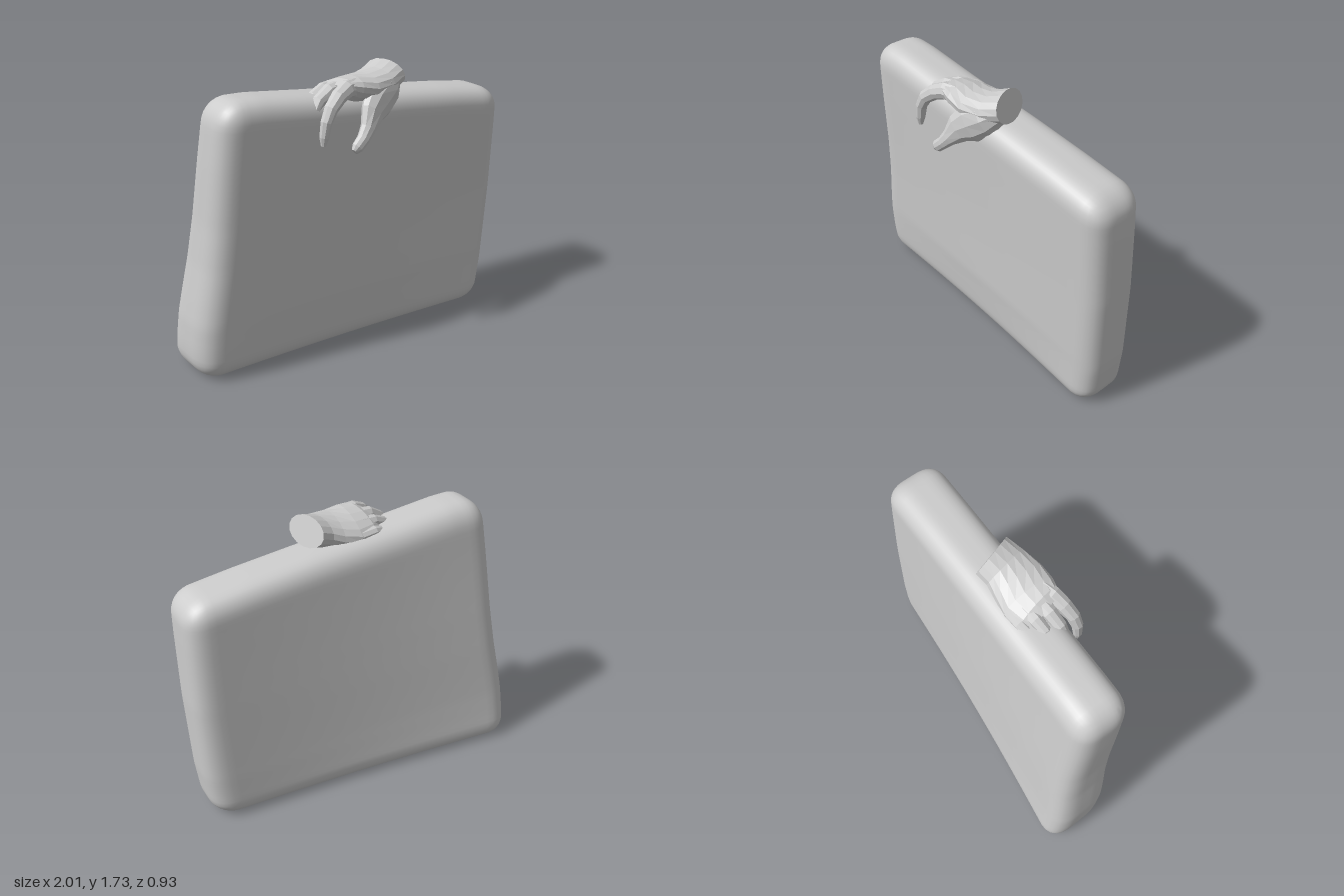
import * as THREE from 'three';
import { mergeVertices, toCreasedNormals } from 'three/addons/utils/BufferGeometryUtils.js';

const { lerp, clamp } = THREE.MathUtils;

// Linear lookup in a short list of [input, output] pairs
function sample(pairs, v) {
  for (let i = 1; i < pairs.length; i++) {
    const [a, fa] = pairs[i - 1], [b, fb] = pairs[i];
    if (v <= b || i === pairs.length - 1) return lerp(fa, fb, clamp((v - a) / (b - a), 0, 1));
  }
}

// Padded case: a rounded box, warped to a leaning, slightly uneven outline
function caseGeometry() {
  const half = new THREE.Vector3(0.98, 0.8, 0.175), r = 0.135;
  const inner = half.clone().subScalar(r);
  const box = new THREE.BoxGeometry(2 * half.x, 2 * half.y, 2 * half.z, 48, 44, 12);
  box.deleteAttribute('uv');
  box.deleteAttribute('normal');
  const geo = mergeVertices(box), pos = geo.attributes.position;
  const p = new THREE.Vector3(), q = new THREE.Vector3();
  const leftEdge = [[0, -0.99], [0.2, -0.995], [0.35, -0.99], [0.5, -0.97], [0.7, -0.94], [0.95, -0.915], [1.3, -0.895], [1.65, -0.87]];
  const rightEdge = [[0, 0.94], [0.1, 0.96], [0.3, 0.98], [0.8, 0.992], [1.2, 0.985], [1.5, 0.975]];
  const topEdge = [[-1, 1.655], [-0.75, 1.645], [-0.35, 1.6], [0.2, 1.55], [0.6, 1.505], [1, 1.45]];
  for (let i = 0; i < pos.count; i++) {
    p.fromBufferAttribute(pos, i);
    q.copy(p).clamp(inner.clone().negate(), inner);
    p.sub(q);
    // Slightly squared rounding across the thickness
    const size = (Math.hypot(p.x, p.y) ** 2.3 + Math.abs(p.z) ** 2.3) ** (1 / 2.3);
    p.multiplyScalar(r / size).add(q);
    const s = (p.x / half.x + 1) / 2, t = (p.y / half.y + 1) / 2, w = (p.z / half.z + 1) / 2;
    const y = lerp(-0.014, sample(topEdge, s * 2 - 1), t);
    // Ends stand square to the slanting faces
    const x = lerp(sample(leftEdge, y), sample(rightEdge, y), s) - 0.07 * (w - 0.5);
    // Faces draw together toward the middle of the base
    const waist = Math.sin(Math.PI * s), foot = Math.max(0, 1 - t * 4);
    const front = lerp(lerp(-0.09, 0.44, s), lerp(0.065, 0.495, s), t) - 0.03 * waist * foot;
    const back = lerp(lerp(-0.525, 0.1, s), lerp(-0.255, 0.145, s), t) + 0.025 * waist * (1 - t);
    pos.setXYZ(i, x, Math.max(0, y), lerp(back, front, w));
  }
  return toCreasedNormals(geo, 0.6);
}

// Closed loft through stations [x, y, z, half width, half height, roll]
function loft(stations, sides = 9) {
  const centres = stations.map(([x, y, z]) => new THREE.Vector3(x, y, z));
  const n = centres.length, verts = [], index = [];
  stations.forEach(([, , , a, b = a, roll = 0], i) => {
    const T = centres[Math.min(i + 1, n - 1)].clone().sub(centres[Math.max(i - 1, 0)]).normalize();
    const S = new THREE.Vector3(0, 0, 1).addScaledVector(T, -T.z).normalize().applyAxisAngle(T, roll);
    const U = T.clone().cross(S);
    for (let j = 0; j < sides; j++) {
      const ang = (j / sides) * Math.PI * 2;
      verts.push(...centres[i].clone().addScaledVector(S, Math.cos(ang) * a).addScaledVector(U, Math.sin(ang) * b));
    }
  });
  verts.push(...centres[0], ...centres[n - 1]);
  for (let j = 0; j < sides; j++) {
    const k = (j + 1) % sides, last = (n - 1) * sides;
    for (let i = 0; i < n - 1; i++) {
      const a = i * sides, b = a + sides;
      index.push(a + j, a + k, b + k, a + j, b + k, b + j);
    }
    index.push(n * sides, k, j, n * sides + 1, last + j, last + k);
  }
  const geo = new THREE.BufferGeometry();
  geo.setAttribute('position', new THREE.Float32BufferAttribute(verts, 3));
  geo.setIndex(index);
  geo.computeVertexNormals();
  return geo;
}

export function createModel() {
  const model = new THREE.Group();
  model.name = 'heldCase';
  const smooth = new THREE.MeshStandardMaterial({ color: 0xcccccc });
  const faceted = new THREE.MeshStandardMaterial({ color: 0xcccccc, flatShading: true });

  const body = new THREE.Mesh(caseGeometry(), smooth);
  body.name = 'paddedCase';
  model.add(body);

  // Hand gripping the top edge, cut off flat at the wrist
  const hand = new THREE.Group();
  hand.name = 'hand';
  model.add(hand);
  const part = (name, stations, sides) => {
    const mesh = new THREE.Mesh(loft(stations, sides), faceted);
    mesh.name = name;
    hand.add(mesh);
  };
  part('palm', [
    [0.19, 1.643, 0.175, 0.133, 0.088], [0.1, 1.615, 0.185, 0.14, 0.083, 0.05],
    [0.0, 1.598, 0.175, 0.155, 0.083, 0.15], [-0.1, 1.6, 0.145, 0.163, 0.077, 0.25],
    [-0.18, 1.612, 0.135, 0.145, 0.06, 0.3], [-0.23, 1.605, 0.14, 0.12, 0.04, 0.3],
  ], 16);
  // Thumb with the deep ball at its root
  part('thumb', [
    [0.17, 1.63, 0.22, 0.07, 0.068], [0.085, 1.575, 0.25, 0.088, 0.105], [0.01, 1.527, 0.272, 0.074, 0.112],
    [-0.055, 1.48, 0.292, 0.055, 0.085], [-0.11, 1.41, 0.31, 0.042, 0.049],
    [-0.155, 1.362, 0.315, 0.036, 0.038], [-0.2, 1.322, 0.312, 0.032, 0.036], [-0.22, 1.303, 0.31, 0.016, 0.022],
  ], 10);
  part('indexFinger', [
    [-0.13, 1.63, 0.225, 0.05, 0.055], [-0.2, 1.634, 0.23, 0.05], [-0.27, 1.606, 0.236, 0.045],
    [-0.335, 1.555, 0.242, 0.039], [-0.37, 1.49, 0.242, 0.033],
    [-0.384, 1.41, 0.238, 0.027], [-0.388, 1.362, 0.236, 0.014],
  ]);
  part('middleFinger', [
    [-0.15, 1.625, 0.16, 0.048], [-0.25, 1.618, 0.15, 0.044], [-0.325, 1.578, 0.145, 0.038],
    [-0.36, 1.525, 0.145, 0.031], [-0.365, 1.48, 0.15, 0.015],
  ]);
  part('ringFinger', [
    [-0.13, 1.61, 0.085, 0.044], [-0.22, 1.606, 0.075, 0.041], [-0.29, 1.58, 0.07, 0.035],
    [-0.33, 1.54, 0.07, 0.018],
  ]);
  part('littleFinger', [
    [-0.08, 1.572, 0.025, 0.038], [-0.17, 1.58, 0.01, 0.036], [-0.23, 1.565, 0.01, 0.03],
    [-0.26, 1.535, 0.012, 0.015],
  ]);
  return model;
}
